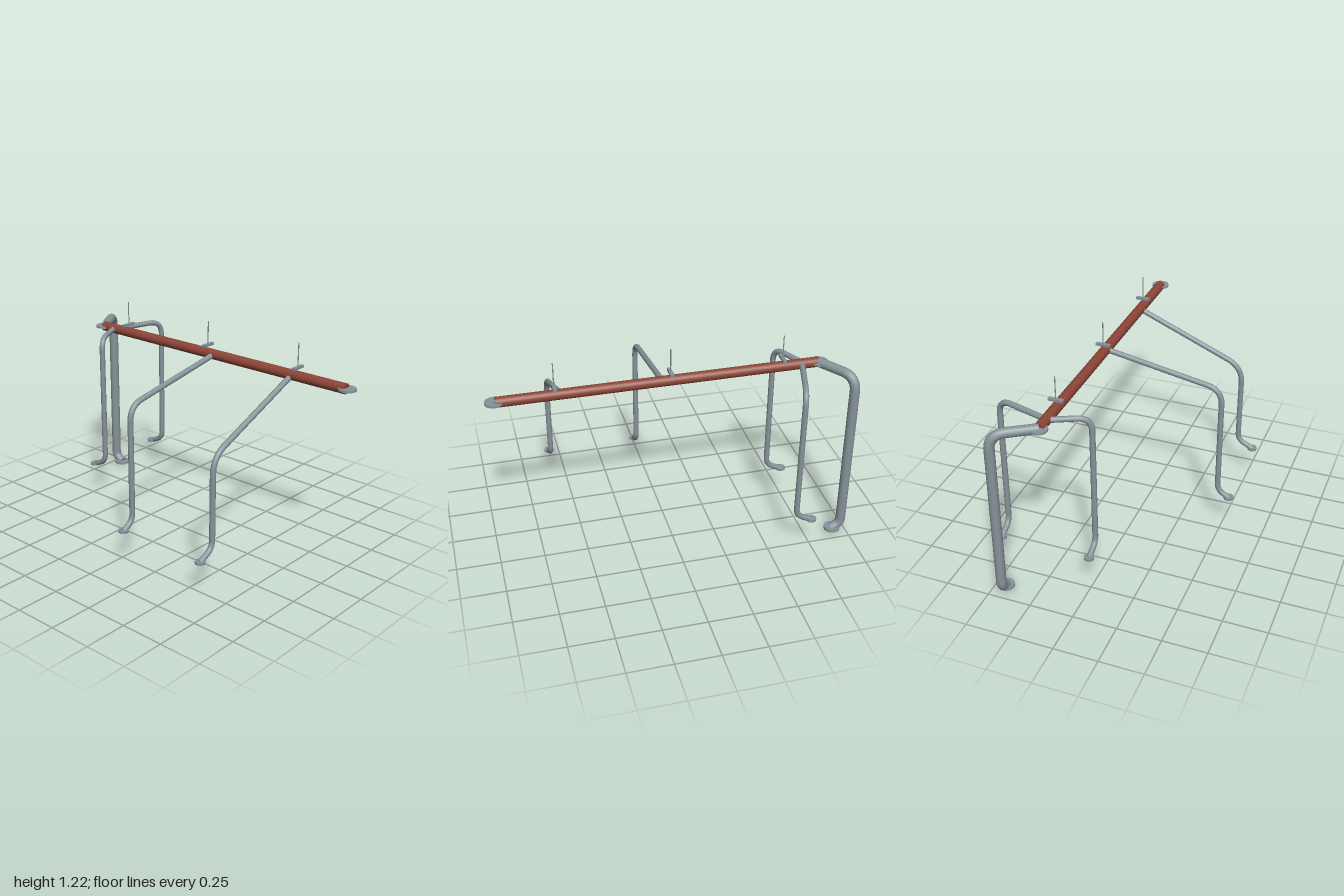
import * as THREE from 'three';

const steel = new THREE.MeshStandardMaterial({ color: 0x87939a });
steel.name = 'grey steel';
const red = new THREE.MeshStandardMaterial({ color: 0x8c4537 });
red.name = 'red pipe paint';

const BAR_X = 0.22, BAR_Y = 1.033;

function add(parent, name, geometry, material, x = 0, y = 0, z = 0) {
  const mesh = new THREE.Mesh(geometry, material);
  mesh.name = name;
  mesh.position.set(x, y, z);
  parent.add(mesh);
  return mesh;
}

// Pipe run through corner points; each inner corner is rounded by its setback
function bentPipe(parent, name, corners, setbacks, radius) {
  const pts = corners.map((c) => new THREE.Vector3(...c));
  const path = new THREE.CurvePath();
  let from = pts[0];
  for (let i = 1; i < pts.length - 1; i++) {
    const toPrev = pts[i - 1].clone().sub(pts[i]).setLength(setbacks[i - 1]);
    const toNext = pts[i + 1].clone().sub(pts[i]).setLength(setbacks[i - 1]);
    const a = pts[i].clone().add(toPrev), b = pts[i].clone().add(toNext);
    path.add(new THREE.LineCurve3(from, a));
    path.add(new THREE.QuadraticBezierCurve3(a, pts[i], b));
    from = b;
  }
  const end = pts[pts.length - 1];
  path.add(new THREE.LineCurve3(from, end));
  add(parent, name, new THREE.TubeGeometry(path, 140, radius, 16, false), steel);
  // Closed lower end
  const cap = add(parent, name + 'EndCap', new THREE.CircleGeometry(radius, 16), steel, ...end.toArray());
  cap.lookAt(end.clone().add(end.clone().sub(from)));
}

function flange(parent, name, radius, thickness, x, y, z) {
  add(parent, name, new THREE.CylinderGeometry(radius, radius, thickness, 28), steel, x, y, z);
}

export function createModel() {
  const model = new THREE.Group();
  model.name = 'pipeManifold';

  // Main header pipe with a flange at each end
  const header = add(model, 'headerPipe', new THREE.CylinderGeometry(0.029, 0.029, 1.775, 28), red, BAR_X, BAR_Y, 0.0575);
  header.rotation.x = Math.PI / 2;
  for (const z of [0.95, -0.835]) flange(model, 'headerFlange', 0.05, 0.012, BAR_X, BAR_Y, z);

  // Large supply pipe dropping behind the header
  const supply = new THREE.Group();
  supply.name = 'supplyPipe';
  model.add(supply);
  bentPipe(supply, 'supplyTube', [
    [BAR_X, BAR_Y, -0.83], [0.43, BAR_Y, -0.968], [0.43, 0.055, -0.968], [0.43, 0.025, -0.916],
  ], [0.09, 0.035], 0.028);
  flange(supply, 'supplyFlange', 0.046, 0.015, 0.43, 0.026, -0.918);

  // Four small branch pipes: start, knee, lower bend, end
  const branches = [
    ['middleSideBranch', [[0.21, 1.03, 0.05], [-0.465, 0.907, 0.05], [-0.465, 0.235, 0.05], [-0.535, 0.196, 0.05]], 0.09],
    ['frontSideBranch', [[0.21, 1.025, 0.595], [-0.43, 0.755, 0.595], [-0.43, 0.245, 0.595], [-0.525, 0.196, 0.595]], 0.1],
    ['rearRightBranch', [[BAR_X, 1.034, -0.747], [0.012, 1.034, -0.645], [0.012, 0.24, -0.645], [0.012, 0.196, -0.738]], 0.08],
    ['rearLeftBranch', [[BAR_X, 1.032, -0.737], [0.535, 1.032, -0.645], [0.535, 0.24, -0.645], [0.535, 0.196, -0.738]], 0.085],
  ];
  for (const [name, corners, knee] of branches) {
    const branch = new THREE.Group();
    branch.name = name;
    model.add(branch);
    bentPipe(branch, 'branchTube', corners, [knee, 0.045], 0.016);
    const [x, y, z] = corners[3];
    flange(branch, 'branchFlange', 0.028, 0.014, x, y + 0.002, z);
  }

  // Hanger brackets with thin rods above the header
  for (const z of [0.635, 0.008, -0.622]) {
    const hanger = new THREE.Group();
    hanger.name = 'hanger';
    hanger.position.set(BAR_X, 0, z);
    model.add(hanger);
    add(hanger, 'hangerPlate', new THREE.BoxGeometry(0.082, 0.014, 0.021), steel, 0, 1.081, 0);
    add(hanger, 'hangerRod', new THREE.CylinderGeometry(0.003, 0.003, 0.136, 10), steel, 0, 1.152, 0);
  }
  return model;
}
